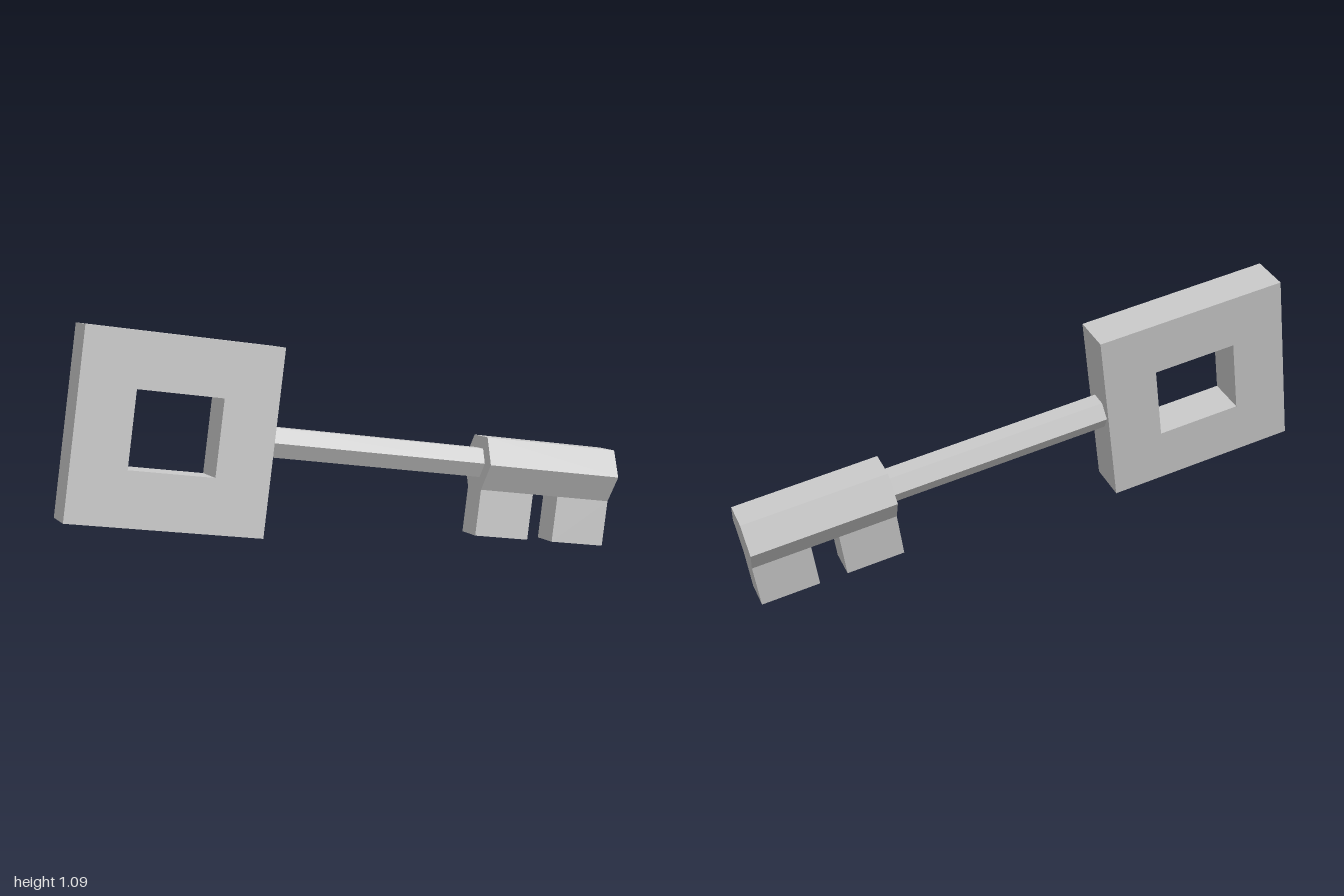
import * as THREE from 'three';

export function createModel() {
  const material = new THREE.MeshStandardMaterial({ color: 0xcccccc, flatShading: true });
  const model = new THREE.Group();
  model.name = 'key';

  // Inner group: x runs along the key, y across the bow, z through its thickness
  const key = new THREE.Group();
  key.name = 'tiltedKey';
  model.add(key);

  const add = (name, geometry, x = 0, y = 0) => {
    const mesh = new THREE.Mesh(geometry, material);
    mesh.name = name;
    mesh.position.set(x, y, 0);
    key.add(mesh);
  };

  const rectangle = (target, w, h) => target
    .moveTo(-w / 2, -h / 2).lineTo(w / 2, -h / 2)
    .lineTo(w / 2, h / 2).lineTo(-w / 2, h / 2).closePath();

  // Hexagonal bar along x, with corners towards +z and -z
  const hexBar = (radius, x0, x1) =>
    new THREE.CylinderGeometry(radius, radius, x1 - x0, 6)
      .rotateZ(-Math.PI / 2).translate((x0 + x1) / 2, 0, 0);

  // Bow: thick plate with a rectangular window
  const bowWidth = 0.793, bowHeight = 0.75, bowDepth = 0.167;
  const plate = rectangle(new THREE.Shape(), bowWidth, bowHeight);
  plate.holes.push(rectangle(new THREE.Path(), 0.347, 0.308));
  add('bow', new THREE.ExtrudeGeometry(plate, { depth: bowDepth, bevelEnabled: false })
    .translate(0, 0, -bowDepth / 2));

  // Shaft and the thicker bit at its end
  const bitStart = 1.315, bitEnd = 1.91, bitRadius = 0.125;
  add('shaft', hexBar(0.068, bowWidth / 2, bitStart));
  add('bit', hexBar(bitRadius, bitStart, bitEnd));

  // Two teeth, flush with the ends of the bit and as wide as its lower face
  const toothLength = 0.24, toothHeight = 0.19;
  const bitBottom = -bitRadius * Math.sqrt(3) / 2;
  [bitStart + toothLength / 2, bitEnd - toothLength / 2].forEach((x, i) =>
    add(i ? 'endTooth' : 'innerTooth',
      new THREE.BoxGeometry(toothLength, toothHeight, bitRadius), x, bitBottom - toothHeight / 2));

  // Tilt the whole key into its pose
  const along = new THREE.Vector3(0.605, -0.181, -0.775).normalize();
  const normal = along.clone().cross(new THREE.Vector3(0, 0.974, -0.227)).normalize();
  const up = normal.clone().cross(along);
  key.quaternion.setFromRotationMatrix(new THREE.Matrix4().makeBasis(along, up, normal));
  key.position.set(-0.476, 0.651, 0.559);

  return model;
}
